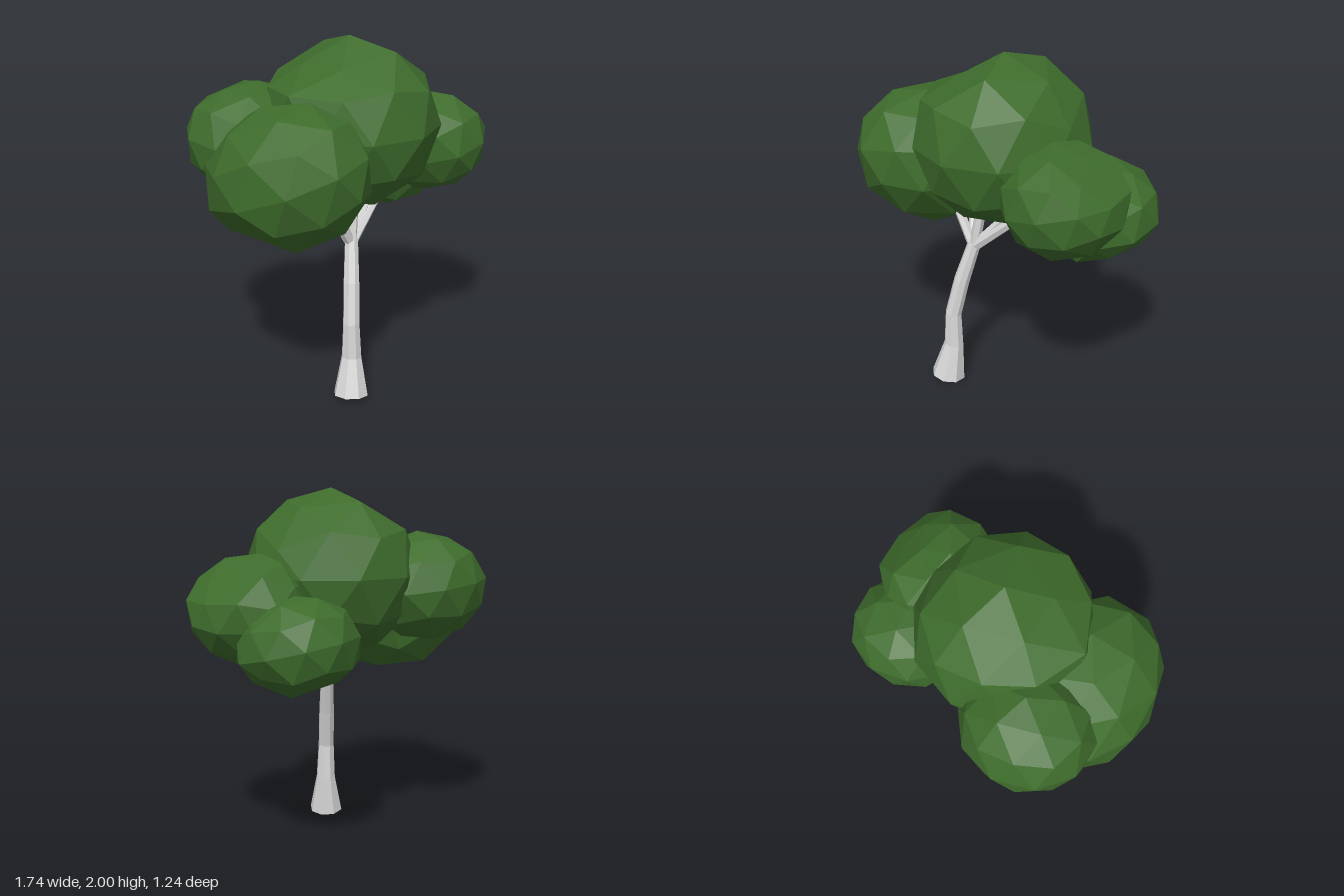
import * as THREE from 'three';

const bark = new THREE.MeshStandardMaterial({ color: 0xd8d8d8, side: THREE.DoubleSide });
bark.name = 'pale bark';
const leaves = new THREE.MeshStandardMaterial({ color: 0x3e6c2c });
leaves.name = 'leaf green';

// Faceted limb through [x, y, z, radius] stations, open at both ends
function limb(name, stations, sides) {
  const centres = stations.map(s => new THREE.Vector3(s[0], s[1], s[2]));
  const up = new THREE.Vector3(0, 1, 0);
  const pos = [], index = [];
  stations.forEach((s, i) => {
    const before = centres[Math.max(i - 1, 0)];
    const after = centres[Math.min(i + 1, centres.length - 1)];
    const q = new THREE.Quaternion().setFromUnitVectors(up, after.clone().sub(before).normalize());
    for (let k = 0; k < sides; k++) {
      const a = ((k + 0.5) / sides) * Math.PI * 2;
      const p = new THREE.Vector3(Math.cos(a) * s[3], 0, Math.sin(a) * s[3]);
      p.applyQuaternion(q).add(centres[i]);
      pos.push(p.x, p.y, p.z);
    }
  });
  for (let i = 0; i < (stations.length - 1) * sides; i += sides) {
    for (let k = 0; k < sides; k++) {
      const n = (k + 1) % sides;
      index.push(i + k, i + sides + k, i + n, i + n, i + sides + k, i + sides + n);
    }
  }
  const indexed = new THREE.BufferGeometry();
  indexed.setAttribute('position', new THREE.Float32BufferAttribute(pos, 3));
  indexed.setIndex(index);
  const geo = indexed.toNonIndexed();
  geo.computeVertexNormals();
  const mesh = new THREE.Mesh(geo, bark);
  mesh.name = name;
  return mesh;
}

// Faceted leaf clump: a subdivided icosahedron with a corner pointing up.
// turn rotates the facets, lean tips the scaled clump about x,
// flats are [normal, point] pairs that press bulging corners onto a plane,
// corners are points to which the nearest corner is pulled.
function clump(name, { centre, radii, turn = [0, 0, 0], lean = 0, flats = [], corners = [] }) {
  const geo = new THREE.IcosahedronGeometry(1, 1);
  geo.rotateZ(-Math.atan(2 / (1 + Math.sqrt(5))));
  geo.rotateY(turn[1]);
  geo.rotateX(turn[0]);
  geo.rotateZ(turn[2]);
  geo.scale(...radii);
  geo.rotateX(lean);
  geo.translate(...centre);
  const pos = geo.attributes.position;
  const points = Array.from({ length: pos.count }, (_, i) => new THREE.Vector3().fromBufferAttribute(pos, i));
  for (const [normal, point] of flats) {
    const plane = new THREE.Plane().setFromNormalAndCoplanarPoint(
      new THREE.Vector3(...normal).normalize(), new THREE.Vector3(...point));
    points.forEach(p => p.addScaledVector(plane.normal, -Math.max(plane.distanceToPoint(p), 0)));
  }
  for (const corner of corners) {
    const target = new THREE.Vector3(...corner);
    const nearest = Math.min(...points.map(p => p.distanceTo(target)));
    points.filter(p => p.distanceTo(target) < nearest + 1e-4).forEach(p => p.copy(target));
  }
  points.forEach((p, i) => pos.setXYZ(i, p.x, p.y, p.z));
  geo.computeVertexNormals();
  const mesh = new THREE.Mesh(geo, leaves);
  mesh.name = name;
  return mesh;
}

export function createModel() {
  const tree = new THREE.Group();
  tree.name = 'tree';

  // Leaning trunk with a flared foot
  tree.add(limb('trunk', [
    [-0.208, 0.015, 0.345, 0.1],
    [-0.178, 0.235, 0.322, 0.058],
    [-0.178, 0.44, 0.318, 0.048],
    [-0.138, 0.66, 0.282, 0.046],
    [-0.08, 0.9, 0.23, 0.038],
  ], 8));

  // Branches fanning out into the crown
  const fork = [-0.085, 0.87, 0.232];
  const tips = [
    [-0.02, 1.25, 0.2, 0.028],
    [0.27, 1.18, 0.2, 0.026],
    [0.2, 1.2, 0.16, 0.024],
    [-0.26, 1.17, 0.22, 0.022],
    [-0.22, 1.25, 0.06, 0.022],
  ];
  tips.forEach((tip, i) => tree.add(limb('branch' + (i + 1), [[...fork, 0.032], tip], 6)));

  // Crown
  tree.add(
    clump('crownTop', {
      centre: [0.035, 1.525, 0.105], radii: [0.49, 0.475, 0.515],
      corners: [
        [-0.44, 1.75, 0.11], [-0.18, 1.86, 0.24], [-0.17, 1.86, -0.04],
        [0.32, 1.89, 0.1], [0.475, 1.67, 0.12],
      ],
    }),
    clump('crownFrontRight', {
      centre: [-0.465, 1.32, 0.12], radii: [0.405, 0.4, 0.5], turn: [0.1, 0.3, 0.2], lean: -0.4,
      flats: [
        [[-0.73, -0.68, 0], [-0.83, 1.19, 0]],
        [[-0.45, -0.89, 0], [-0.44, 0.91, 0]],
      ],
    }),
    clump('crownBackRight', {
      centre: [-0.345, 1.445, -0.28], radii: [0.375, 0.315, 0.345], turn: [0.1, 0, -0.1],
      flats: [[[-0.35, 0.94, 0], [-0.4, 1.74, 0]]],
    }),
    clump('crownFrontLeft', {
      centre: [0.55, 1.355, 0.26], radii: [0.335, 0.305, 0.355], turn: [0, 0.2, 0.25],
      flats: [
        [[0.42, 0.9, 0], [0.49, 1.66, 0]],
        [[0.68, 0.73, 0], [0.78, 1.47, 0]],
      ],
    }),
    clump('crownBackLeft', {
      centre: [0.54, 1.17, -0.07], radii: [0.345, 0.285, 0.335], turn: [-0.1, 0.5, -0.08], lean: 0.3,
      flats: [
        [[0.46, -0.89, 0], [0.51, 0.89, 0]],
        [[-0.5, -0.87, 0], [0.51, 0.89, 0]],
        [[0, -0.91, -0.41], [0.51, 0.89, 0]],
      ],
      corners: [[0.51, 0.89, 0]],
    }),
  );
  return tree;
}
